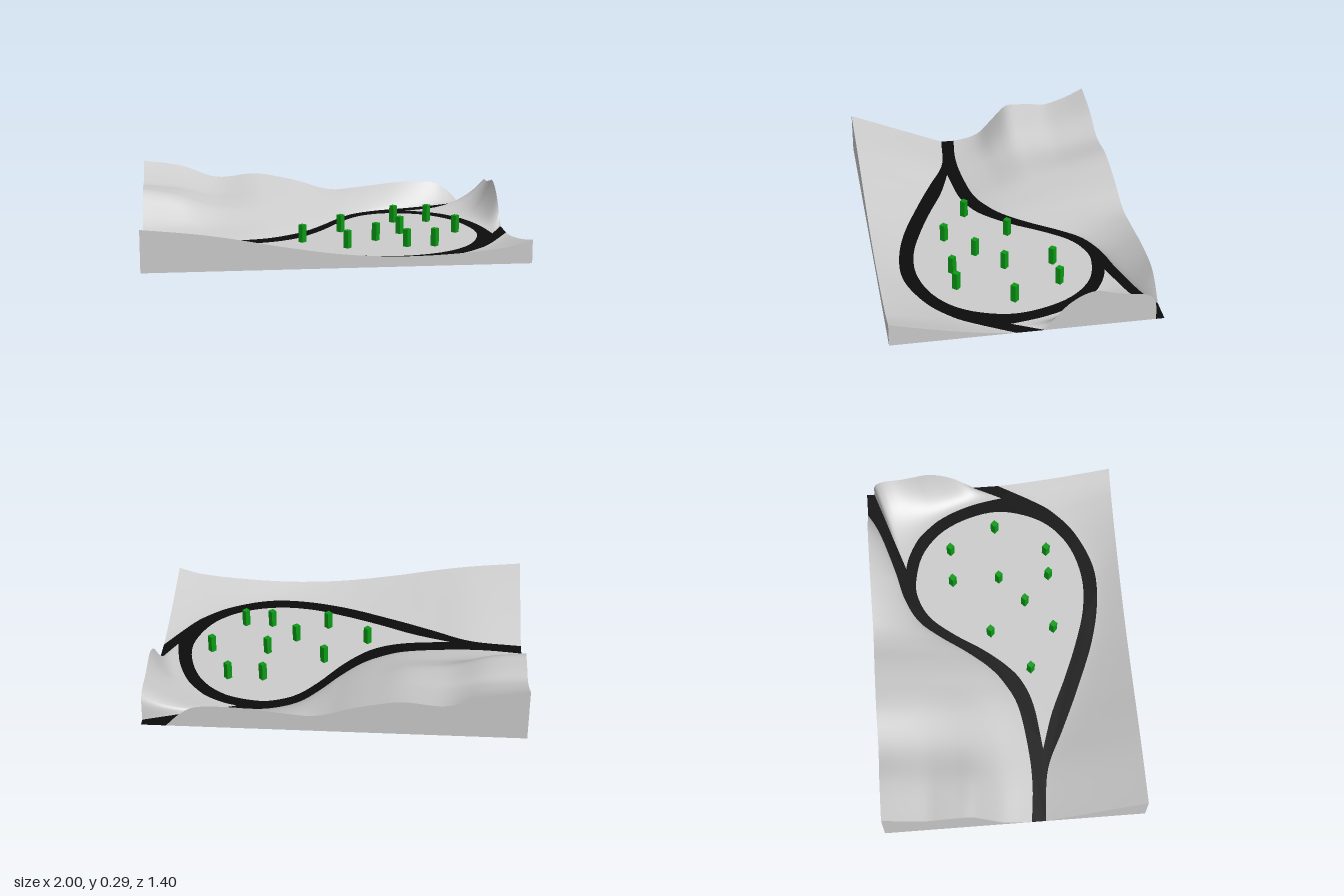
import * as THREE from 'three';

const BASE = 0.004; // level of the valley floor
const N = 96;       // samples along each bank
const { DoubleSide } = THREE;
const grey = new THREE.MeshStandardMaterial({ color: 0xcccccc, side: DoubleSide });
const black = new THREE.MeshStandardMaterial({ color: 0x0c0c0c, side: DoubleSide });
const green = new THREE.MeshStandardMaterial({ color: 0x0a9a14 });

const V = (x, y, z) => new THREE.Vector3(x, y, z);
const spline = (pts, closed = false) => new THREE.CatmullRomCurve3(pts, closed, 'catmullrom', 0.5);

// Smooth surface patch from a point function f(u, v)
function patch(nu, nv, f) {
  const pos = [], idx = [];
  for (let i = 0; i <= nu; i++)
    for (let j = 0; j <= nv; j++) pos.push(...f(i / nu, j / nv).toArray());
  for (let i = 0; i < nu; i++)
    for (let j = 0; j < nv; j++) {
      const a = i * (nv + 1) + j, b = a + nv + 1;
      idx.push(a, b, a + 1, b, b + 1, a + 1);
    }
  const g = new THREE.BufferGeometry();
  g.setAttribute('position', new THREE.Float32BufferAttribute(pos, 3));
  g.setIndex(idx);
  g.computeVertexNormals();
  return g;
}

// Raised ground between the road and the edge of the block.
// Each row: road x, road z, edge x, edge z, edge height
function bank(name, rows, height) {
  const inner = spline(rows.map(r => V(r[0], 0, r[1])));
  const outer = spline(rows.map(r => V(r[2], r[4], r[3])));
  const top = (u, v) => {
    const a = inner.getPoint(u), b = outer.getPoint(u);
    const h = Math.max(0, height(u, v, b.y));
    const p = a.lerp(b, v);
    p.y = BASE + h;
    return p;
  };
  const drop = (p, k) => V(p.x, BASE + (p.y - BASE) * k, p.z);
  const group = new THREE.Group();
  group.name = name;
  const add = (part, g) => {
    const m = new THREE.Mesh(g, grey);
    m.name = name + part;
    group.add(m);
  };
  add('Surface', patch(N, 32, top));
  add('Underside', patch(N, 1, (u, v) => drop(top(u, v), 0)));
  add('OuterWall', patch(N, 1, (u, v) => drop(top(u, 1), v)));
  for (const end of [0, 1])
    add('EndWall', patch(32, 1, (s, v) => drop(top(end, s), v)));
  return { group, inner };
}

const northRows = [
  [-1, .09, -1, -.7, .29], [-.8, .11, -.78, -.7, .255], [-.6, .105, -.58, -.7, .185],
  [-.35, .07, -.36, -.7, .2], [-.2, 0, -.2, -.7, .175], [-.1, -.08, -.08, -.7, .145],
  [0, -.2, .03, -.7, .108], [.1, -.34, .12, -.7, .093], [.2, -.45, .22, -.7, .1],
  [.34, -.52, .36, -.7, .115], [.5, -.56, .52, -.7, .13], [.7, -.62, .7, -.7, .125],
  [.8, -.66, .79, -.7, .08], [.87, -.7, .87, -.7, 0],
];
const southRows = [
  [-1, .165, -1, .7, .225], [-.72, .2, -.72, .7, .195], [-.5, .3, -.5, .7, .16],
  [-.29, .395, -.29, .7, .12], [0, .51, 0, .7, .075], [.25, .565, .25, .7, .056],
  [.46, .56, .46, .7, .055], [.67, .475, .67, .7, .066], [.81, .36, .81, .7, .08],
  [.89, .25, .9, .7, .095], [1, .06, 1, .7, .125],
];
const eastRows = [
  [.52, -.5, 1, -.657, 0], [.56, -.49, 1, -.65, .1], [.6, -.475, 1, -.625, .142],
  [.65, -.45, 1, -.58, .162], [.71, -.41, 1, -.5, .17], [.77, -.345, 1, -.42, .19],
  [.81, -.29, 1, -.35, .208], [.85, -.21, 1, -.28, .192], [.885, -.11, 1, -.2, .14],
  [.905, -.02, 1, -.13, .06], [.92, .075, 1, -.085, 0],
];

// Cross-section of the shoulder at the west end of the north bank
const shoulder = spline([0, .012, .045, .13, .21, .215, .21, .2, .22, .25, .29]
  .map((h, i) => V(i / 10, h, 0)));

// Inner edge of the road loop
const loop = [
  [-.6, .185], [-.4, .25], [-.2, .34], [0, .42], [.2, .48], [.4, .49], [.6, .43],
  [.75, .3], [.83, .1], [.82, -.08], [.74, -.27], [.6, -.4], [.42, -.45], [.3, -.43],
  [.2, -.37], [.1, -.25], [0, -.1], [-.1, .02], [-.2, .1], [-.35, .155], [-.6, .185],
];

const posts = [
  [.41, -.24], [.6, -.24], [.09, -.05], [-.14, .155], [.26, .155],
  [.41, .02], [.72, .02], [.09, .3], [.41, .3], [.56, .3],
];

export function createModel() {
  const model = new THREE.Group();
  model.name = 'terrainBlock';

  // Banks around the valley
  const north = bank('northBank', northRows, (u, v, h) => {
    const k = THREE.MathUtils.smoothstep(u, 0, 0.3);
    const west = shoulder.getPoint(v).y * h / 0.29;
    return THREE.MathUtils.lerp(west, h * Math.pow(v, 0.85), k);
  });
  const south = bank('southBank', southRows, (u, v, h) => h * Math.pow(v, 1 + 0.35 * u));
  const east = bank('eastBank', eastRows, (u, v, h) => h * Math.pow(v, 2.4));
  model.add(north.group, south.group, east.group);

  // Road fills the valley between the banks, around the inner field
  const flat = p => new THREE.Vector2(p.x, -p.z);
  const edge = c => c.getPoints(N).map(flat);
  const outline = [
    ...edge(north.inner), new THREE.Vector2(1, .7), ...[new THREE.Vector2(1, .657)],
    ...edge(east.inner), new THREE.Vector2(1, .085), ...edge(south.inner).reverse(),
  ];
  const field = edge(spline(loop.map(([x, z]) => V(x, 0, z)))).slice(0, -1);
  const roadShape = new THREE.Shape(outline);
  roadShape.holes.push(new THREE.Path(field));
  const road = new THREE.Mesh(new THREE.ShapeGeometry(roadShape).rotateX(-Math.PI / 2), black);
  road.name = 'road';
  road.position.y = BASE;
  model.add(road);

  // Flat field inside the loop
  const fieldGeo = new THREE.ExtrudeGeometry(new THREE.Shape(field), { depth: BASE, bevelEnabled: false });
  const fieldMesh = new THREE.Mesh(fieldGeo.rotateX(-Math.PI / 2), grey);
  fieldMesh.name = 'field';
  model.add(fieldMesh);

  // Square posts turned on their corners
  const postGeo = new THREE.CylinderGeometry(.022, .022, .1, 4).toNonIndexed();
  postGeo.computeVertexNormals();
  for (const [x, z] of posts) {
    const post = new THREE.Mesh(postGeo, green);
    post.name = 'post';
    post.position.set(x, .05, z);
    model.add(post);
  }
  return model;
}
